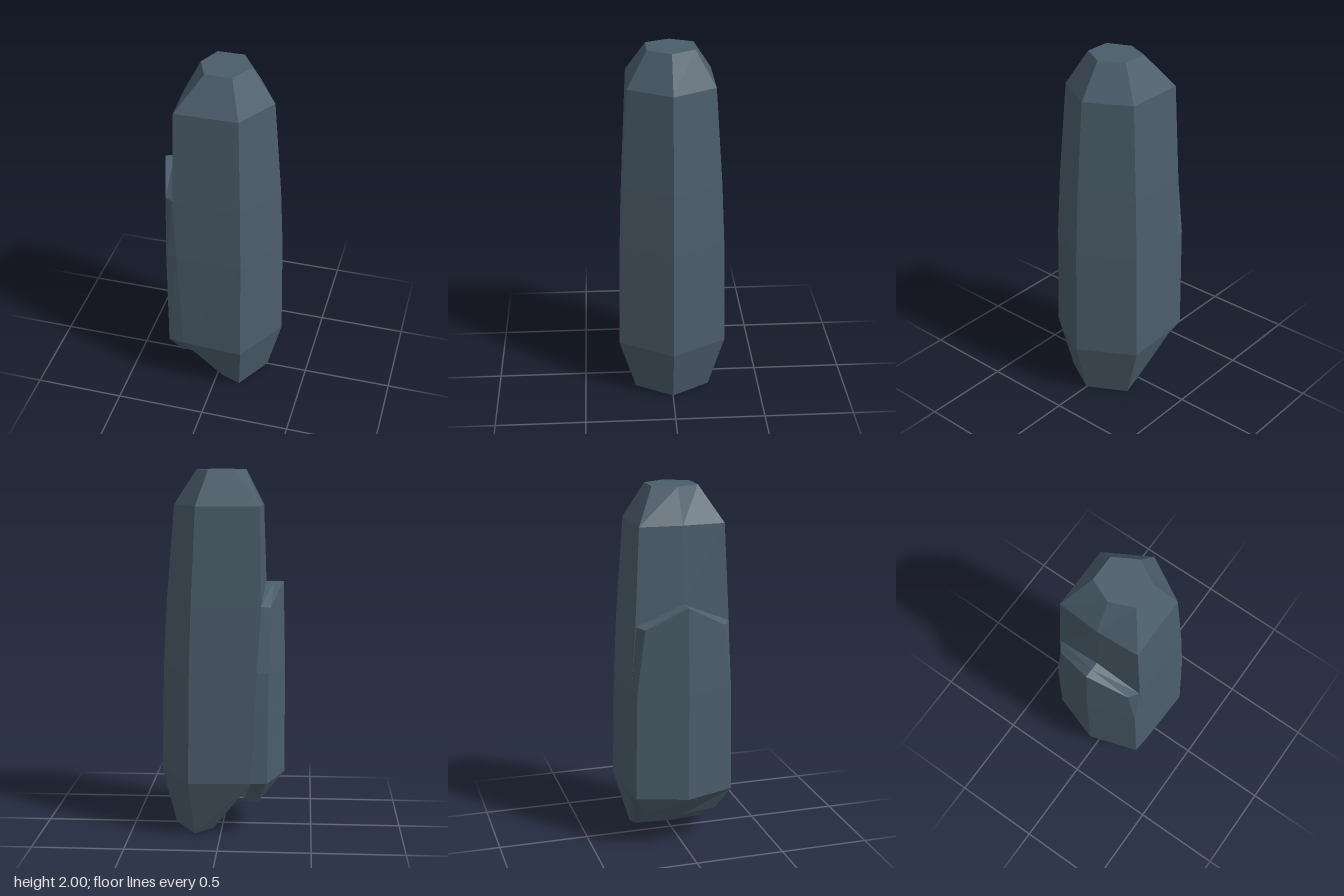
import * as THREE from 'three';

// Lofts hexagonal rings, listed bottom to top. Each ring gives four points
// [x, y, z]: inner/right tip, two front corners, left tip; the back is mirrored.
function loft(halfRings) {
  const rings = halfRings.map(([r, rf, lf, l]) => {
    const back = ([x, y, z]) => [x, y, -z];
    return [r, rf, lf, l, back(lf), back(rf)];
  });
  const positions = [];
  const tri = (a, b, c) => positions.push(...a, ...b, ...c);
  const middle = (ring) => ring[0].map((v, k) => (v + ring[3][k]) / 2);
  const first = rings[0];
  const last = rings[rings.length - 1];
  for (let i = 0; i < 6; i++) {
    const j = (i + 1) % 6;
    for (let n = 0; n < rings.length - 1; n++) {
      const a = rings[n];
      const b = rings[n + 1];
      tri(a[i], b[i], a[j]);
      tri(b[i], b[j], a[j]);
    }
    tri(middle(first), first[i], first[j]);
    tri(middle(last), last[j], last[i]);
  }
  const geometry = new THREE.BufferGeometry();
  geometry.setAttribute('position', new THREE.Float32BufferAttribute(positions, 3));
  geometry.computeVertexNormals();
  return geometry;
}

export function createModel() {
  const group = new THREE.Group();
  group.name = 'rockPillar';
  const slate = new THREE.MeshStandardMaterial({ color: 0x4b5d6b, flatShading: true });
  slate.name = 'slate';

  const add = (name, rings) => {
    const mesh = new THREE.Mesh(loft(rings), slate);
    mesh.name = name;
    group.add(mesh);
  };

  // Tall tapering column with a slanted foot and bevelled top
  add('column', [
    [[0.265, 0, 0], [0.145, 0, 0.21], [0.04, 0.03, 0.2], [0, 0.04, 0]],
    [[0.345, 0.31, 0], [0.172, 0.31, 0.3], [-0.17, 0.31, 0.285], [-0.2, 0.31, 0]],
    [[0.333, 0.92, 0], [0.166, 0.92, 0.288], [-0.2, 0.92, 0.278], [-0.24, 0.92, 0]],
    [[0.315, 1.27, 0], [0.157, 1.27, 0.272], [-0.22, 1.27, 0.262], [-0.24, 1.39, 0]],
    [[0.27, 1.81, 0], [0.135, 1.81, 0.235], [-0.21, 1.81, 0.235], [-0.225, 1.81, 0]],
    [[0.145, 2, 0], [0.073, 2, 0.128], [-0.073, 2, 0.128], [-0.128, 2, 0]],
  ]);

  // Shorter slab fused to the side, ending in a peaked ledge
  add('sideSlab', [
    [[-0.1, 0.18, 0], [-0.13, 0.19, 0.2], [-0.2, 0.18, 0.2], [-0.24, 0.18, 0]],
    [[-0.1, 0.31, 0], [-0.17, 0.31, 0.285], [-0.257, 0.31, 0.275], [-0.347, 0.31, 0]],
    [[-0.18, 0.92, 0], [-0.2, 0.92, 0.278], [-0.262, 0.92, 0.265], [-0.347, 0.92, 0]],
    [[-0.235, 1.39, 0], [-0.218, 1.28, 0.26], [-0.27, 1.27, 0.22], [-0.335, 1.39, 0]],
  ]);

  return group;
}
